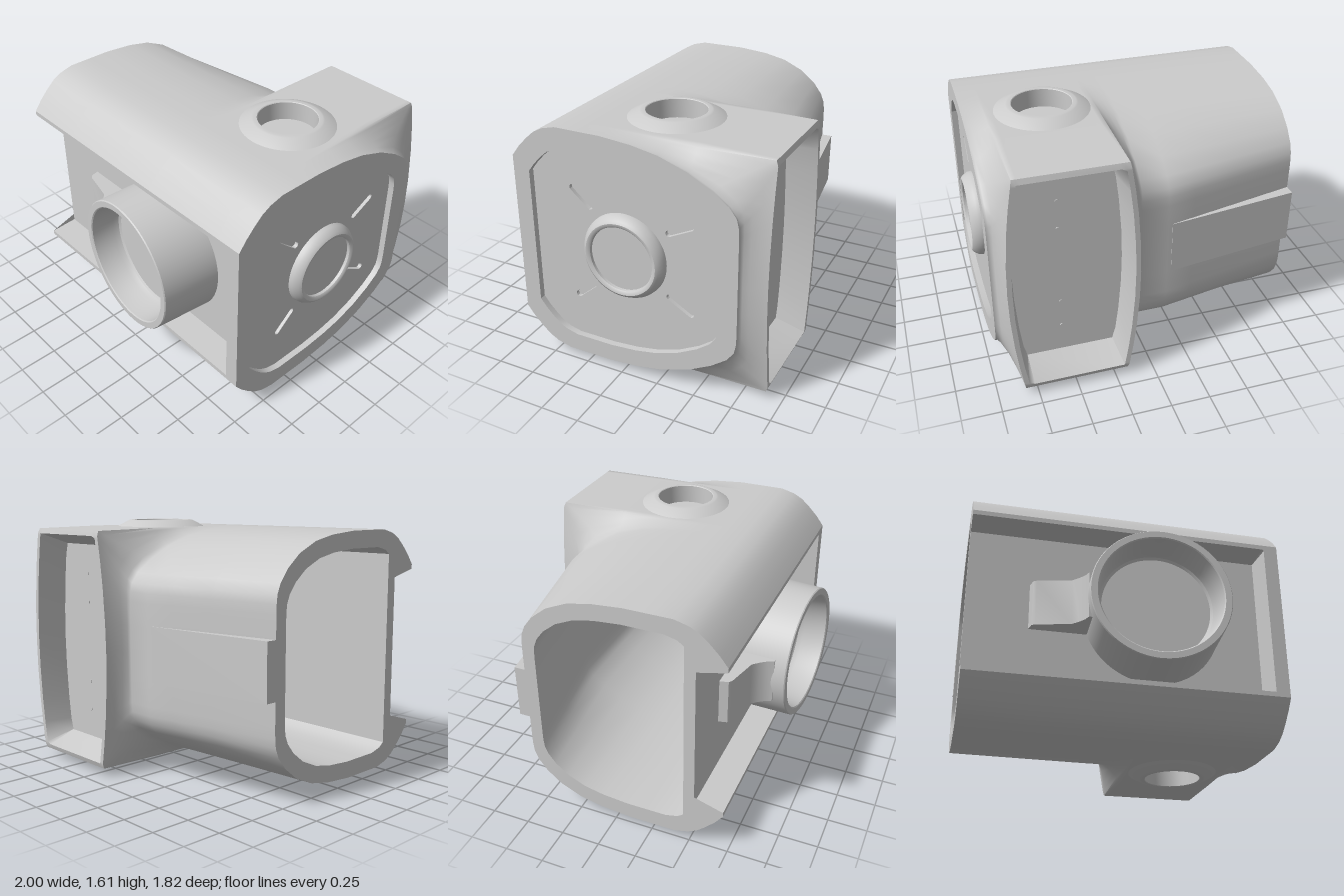
import * as THREE from 'three';
import { toCreasedNormals } from 'three/addons/utils/BufferGeometryUtils.js';

const MID = 0.81; // height of the horizontal symmetry plane
const FRONT = 0.715, PANEL = 0.53; // depth of the front lips and of the recessed panel
const mat = new THREE.MeshStandardMaterial({ color: 0xcccccc, roughness: 0.7 });
const V = (x, y, z) => new THREE.Vector3(x, y, z);
const shapeOf = (pts) => new THREE.Shape(pts.map((p) => new THREE.Vector2(...p)));

function add(parent, name, geo, crease = 0.7) {
  const mesh = new THREE.Mesh(toCreasedNormals(geo, crease), mat);
  mesh.name = name;
  parent.add(mesh);
}

// Skins rows of points; cells for which skip(i, j) holds are left open
function skin(rows, skip = () => false) {
  const pos = [];
  const tri = (...p) => p.forEach((v) => pos.push(v.x, v.y, v.z));
  for (let i = 0; i < rows.length - 1; i++)
    for (let j = 0; j < rows[i].length - 1; j++) {
      if (skip(i, j)) continue;
      const a = rows[i][j], b = rows[i + 1][j], c = rows[i][j + 1], d = rows[i + 1][j + 1];
      tri(a, b, c);
      tri(b, d, c);
    }
  const g = new THREE.BufferGeometry();
  g.setAttribute('position', new THREE.Float32BufferAttribute(pos, 3));
  g.computeVertexNormals();
  return g;
}

const lathe = (pts, n = 64) => new THREE.LatheGeometry(pts.map((p) => new THREE.Vector2(...p)), n);

// Upright prism over a plan given as [x, z]
const prism = (plan, height, y) =>
  new THREE.ExtrudeGeometry(shapeOf(plan.map(([x, z]) => [x, -z])), { depth: height, bevelEnabled: false })
    .rotateX(-Math.PI / 2).translate(0, y - height / 2, 0);

// Upper half cross-sections as [z, y], from the front lip over the top to the back
const plain = [[FRONT, 1.34], [0.665, 1.405], [0.605, 1.467], [0.55, 1.515], [0.49, 1.547], [0.4, 1.57],
  [0.25, 1.57], [0.1, 1.57], [-0.1, 1.553], [-0.27, 1.522], [-0.45, 1.46], [-0.6, 1.38], [-0.7, 1.305],
  [-0.745, 1.245], [-0.757, 1.19], [-0.76, 1.13], [-0.76, 0.98], [-0.76, MID]];
const rim = [...plain.slice(0, 8), [-0.1, 1.57], [-0.27, 1.57], [-0.45, 1.57], [-0.9, 1.562],
  [-0.912, 1.53], [-0.912, 1.515], [-0.912, 1.38], [-0.912, 1.22], [-0.912, 1.0], [-0.912, MID]];
const pocket = rim.map(([z, y], i) => (i < 13 ? [z, y] : [-0.72, Math.min(y, 1.46)]));
const full = (half) => [...half, ...half.slice(0, -1).reverse().map(([z, y]) => [z, 2 * MID - y])];
const blend = (k) => plain.map((p, i) => [p[0] + (rim[i][0] - p[0]) * k, p[1] + (rim[i][1] - p[1]) * k]);

const PLAIN = full(plain), RIM = full(rim);
// The back leans forward towards the open end
const taper = (x, z) =>
  z < 0 ? z * (1 - 0.25 * Math.min(1, Math.max(0, (-x - 0.12) / 0.88)) * (-z / 0.76)) : z;
const bulge = (y) => ((y - MID) / 0.75) ** 2;
const halfWidth = (y) => 0.4 - 0.07 * bulge(y); // barrel shape of the duct
const straightRow = (x) => PLAIN.map(([z, y]) => V(x, y, taper(x, z)));
const ductRow = (half, side, off) => full(half).map(([z, y], j) => {
  const ry = RIM[j][1];
  const flare = off > 0 ? 1 + 1.5 * bulge(ry) : 1; // wider blend at top and bottom
  return V(0.5 + side * (halfWidth(ry) + off * flare), y, z);
});

// Closed contours around the whole section, including the front
const closed = (row, front) => [...row, ...front, row[0].clone()];
const outerLoop = (x, pz) => closed(straightRow(x),
  [[0.31, FRONT], [0.32, pz], [1.3, pz], [1.31, FRONT]].map(([y, z]) => V(x, y, z)));
function innerLoop(x, s, zMax) {
  const row = straightRow(x).map((p) => V(x, MID + (p.y - MID) * s, Math.min(p.z * s, zMax)));
  return closed(row, [-0.44, -0.42, 0.42, 0.44].map((dy) => V(x, MID + dy, row[0].z)));
}

function housing(group) {
  // Outer skin with the rear duct and its pocket
  const flare = [[0, 0.05], [0.1, 0.039], [0.32, 0.025], [0.62, 0.012], [0.85, 0.004]]
    .map(([k, off]) => [blend(k), off]);
  const side = (s) => [...flare, [rim, 0], [rim, -0.03], [pocket, -0.06]]
    .map(([sec, off]) => ductRow(sec, s, off));
  const rows = [-1, -0.58, -0.3, -0.12].map(straightRow);
  rows.push(...side(-1));
  const gap = rows.length - 1;
  rows.push(...side(1).reverse(), straightRow(0.97));
  const last = RIM.length - 2;
  const overPort = (j) => Math.min(j, last - j) >= 7 && Math.min(j, last - j) < 10;
  add(group, 'housingShell', skin(rows, (i, j) => i === gap && overPort(j)), 1.1);

  // Cavity and the open end face
  const cavity = [0.87, 0.4, -0.12, -0.58, -1].map((x) => innerLoop(x, 0.86, PANEL - 0.07));
  const centre = cavity[0].map(() => V(0.87, MID, 0));
  add(group, 'housingCavity', skin([centre, ...cavity, outerLoop(-1, PANEL)]), 0.6);

  // Recessed front panel with its narrow frame
  const front = (x, pz) => [[FRONT, 0.28], [FRONT, 0.31], [pz, 0.32], [pz, MID], [pz, 1.3], [FRONT, 1.31],
    [FRONT, 1.34]].map(([z, y]) => V(x, y, z));
  add(group, 'frontPanel', skin([front(-1, PANEL), front(0.87, PANEL), front(0.88, FRONT),
    front(0.97, FRONT)]), 0.3);

  // Wedge pad on the back wall
  add(group, 'backPad', prism([[-1, -0.64], [-1, -0.52], [-0.15, -0.7], [-0.15, -0.757]], 0.35, MID + 0.01));

  // Pin marks on the pocket floor
  for (const dy of [-0.46, -0.27, 0.27, 0.46])
    add(group, 'pocketPin', new THREE.CylinderGeometry(0.012, 0.012, 0.01, 12)
      .rotateX(Math.PI / 2).translate(0.55, MID + dy, -0.72));
}

// Round port, with the patch of skin that surrounds it
function port(group, name, s, z) {
  const w = halfWidth(1.57) - 0.06;
  const patch = shapeOf([[-w, -s * 0.1], [w, -s * 0.1], [w, s * 0.45], [-w, s * 0.45]]);
  const hole = new THREE.Path();
  hole.absarc(0, -s * z, 0.22, 0, Math.PI * 2, true);
  patch.holes.push(hole);
  const y = MID + s * 0.76;
  add(group, name + 'Surround', new THREE.ShapeGeometry(patch, 32)
    .rotateX(-s * Math.PI / 2).translate(0.5, y, 0));
  const ring = lathe([[0.3, -0.003], [0.29, 0.003], [0.22, 0.04], [0.208, 0.043], [0.188, 0.043],
    [0.184, 0.039], [0.184, -0.08], [0, -0.08]]);
  add(group, name, ring.rotateX(s > 0 ? 0 : Math.PI).translate(0.49, y, z), 0.5);
}

function endPlate(group) {
  // Raised rim around the recess
  const edge = innerLoop(0.97, 0.845, 1);
  const deep = edge.map((p) => V(0.925, p.y, p.z));
  add(group, 'endRim', skin([outerLoop(0.97, FRONT), edge, deep]), 0.5);

  // Recess floor with four slots and a backing behind them
  const outline = deep.slice(0, -1).map((p) => [-p.z, p.y]);
  const plate = (shape, depth, x) => new THREE.ExtrudeGeometry(shape, { depth, bevelEnabled: false })
    .rotateY(Math.PI / 2).translate(x, 0, 0);
  const floor = shapeOf(outline);
  const slots = [[0.33, 1.19, 0.215, 1.09], [-0.31, 1.035, -0.45, 1.105],
    [0.33, 0.455, 0.215, 0.555], [-0.31, 0.61, -0.45, 0.53]];
  for (const [z0, y0, z1, y1] of slots) {
    const a = Math.atan2(y1 - y0, z0 - z1), q = Math.PI / 2, path = new THREE.Path();
    path.absarc(-z1, y1, 0.02, a - q, a + q, false);
    path.absarc(-z0, y0, 0.02, a + q, a + 3 * q, false);
    path.closePath();
    floor.holes.push(path);
  }
  add(group, 'endFloor', plate(floor, 0.025, 0.905));
  add(group, 'endBacking', plate(shapeOf(outline), 0.02, 0.885));

  const hub = lathe([[0.275, 0], [0.272, 0.025], [0.25, 0.06], [0.235, 0.07], [0.22, 0.068],
    [0.21, 0.06], [0.208, 0.042], [0, 0.042]]);
  add(group, 'endHub', hub.rotateZ(-Math.PI / 2).translate(0.93, 0.82, -0.02), 0.6);
}

function frontTube(group) {
  // Slightly tilted tube standing on the panel
  const tube = lathe([[0.442, -0.035], [0.438, 0.06], [0.431, 0.345], [0.426, 0.352], [0.387, 0.352],
    [0.38, 0.346], [0.368, 0.2], [0.355, 0.165], [0.34, 0.155], [0, 0.155]], 96);
  add(group, 'frontTube', tube.rotateX(Math.PI / 2).rotateY(-0.075).translate(0.161, MID, PANEL), 0.5);

  // Ramp block that climbs to the tube
  const ramp = [[-0.615, 0.52], [-0.6, 0.585], [-0.58, 0.6], [-0.37, 0.65], [-0.33, 0.69], [-0.3, 0.73],
    [-0.285, 0.77], [-0.235, 0.77], [-0.235, 0.52]];
  add(group, 'rampBlock', prism(ramp, 0.3, MID), 0.6);
}

export function createModel() {
  const group = new THREE.Group();
  group.name = 'housing';
  housing(group);
  port(group, 'topPort', 1, -0.14);
  port(group, 'bottomPort', -1, -0.21);
  endPlate(group);
  frontTube(group);
  return group;
}
